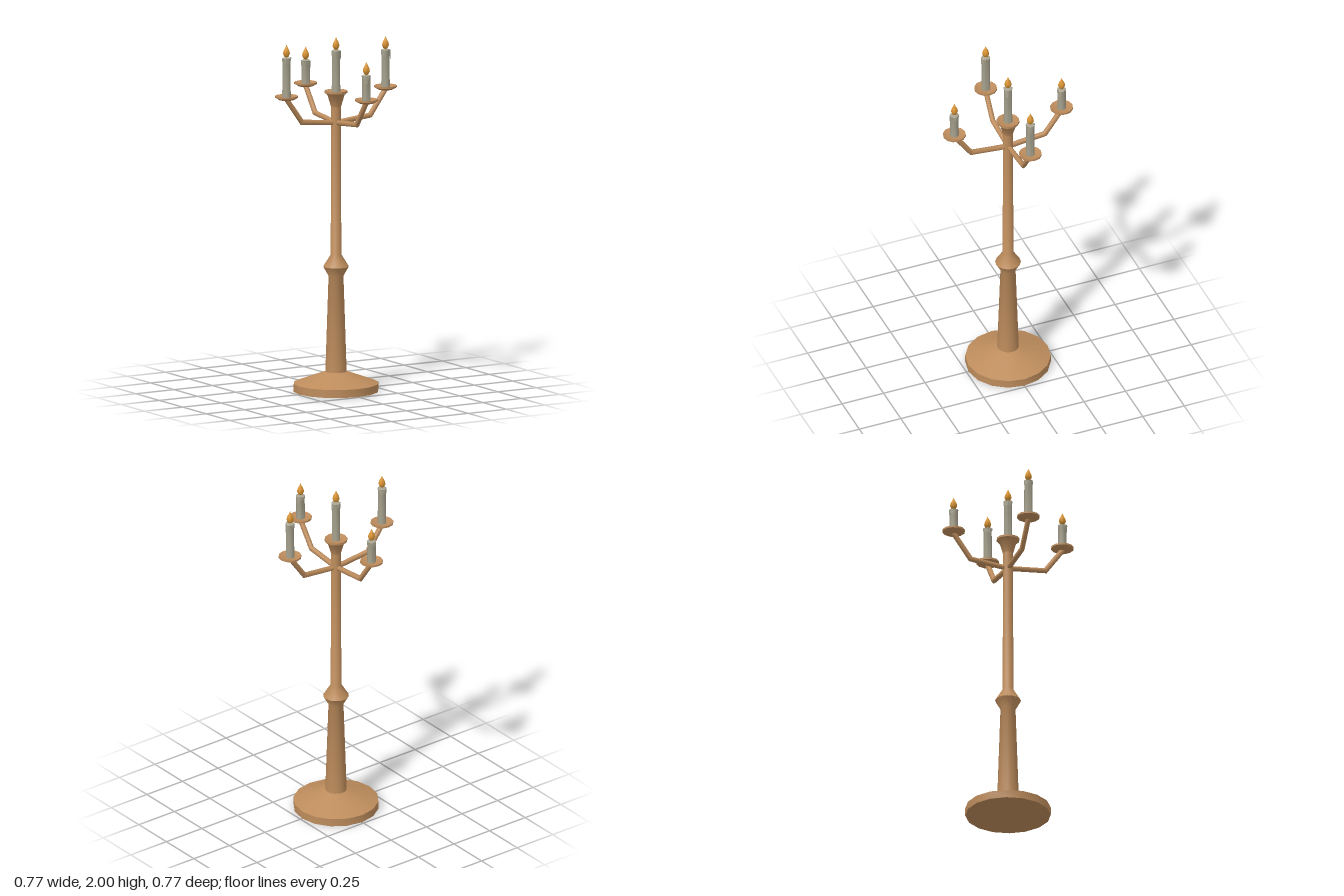
import * as THREE from 'three';
import { toCreasedNormals } from 'three/addons/utils/BufferGeometryUtils.js';

const mat = (name, color, side = THREE.FrontSide) => {
  const m = new THREE.MeshStandardMaterial({ color, side });
  m.name = name;
  return m;
};

export function createModel() {
  const bronze = mat('bronze', 0xbd8c5c);
  const wax = mat('wax', 0xa9a490);
  const waxDrip = wax;
  const fire = mat('flame orange', 0xdb9534);
  const model = new THREE.Group();
  model.name = 'candelabra';

  const add = (parent, name, geometry, material) => {
    const mesh = new THREE.Mesh(geometry, material);
    mesh.name = name;
    parent.add(mesh);
    return mesh;
  };
  // Turned part from [radius, height] pairs, listed from the bottom up
  const turned = (points, sides) => toCreasedNormals(
    new THREE.LatheGeometry(points.map(([r, y]) => new THREE.Vector2(r, y)), sides), 0.9);

  // Foot, tapered stem, knop and post
  add(model, 'stand', turned([
    [0, 0], [0.238, 0], [0.238, 0.045], [0.06, 0.11], [0.042, 0.65],
    [0.072, 0.703], [0.03, 0.77], [0.028, 1.61],
  ], 16), bronze);

  // Flared cup on top of the post
  add(model, 'centreCup', turned([
    [0.028, 1.605], [0.048, 1.672], [0.064, 1.684], [0.064, 1.696], [0.045, 1.69], [0, 1.69],
  ], 12), bronze);

  // Bent arm: a tube with a mitred elbow, in the x-y plane
  const path = [[0, 1.515], [0.222, 1.537], [0.325, 1.68]].map(p => new THREE.Vector2(...p));
  const armGeometry = () => {
    const r = 0.015;
    const geo = new THREE.CylinderGeometry(r, r, 2, 8, 2, true);
    const pos = geo.attributes.position;
    const dirs = [0, 1].map(i => path[i + 1].clone().sub(path[i]).normalize());
    const mid = dirs[0].clone().add(dirs[1]).normalize();
    const tangents = [dirs[0], mid, dirs[1]];
    const mitre = [1, 1 / mid.dot(dirs[0]), 1];
    for (let i = 0; i < pos.count; i++) {
      const k = Math.round(pos.getY(i)) + 1;
      const n = pos.getX(i) * mitre[k];
      pos.setXY(i, path[k].x + tangents[k].y * n, path[k].y - tangents[k].x * n);
    }
    return toCreasedNormals(geo, 0.8);
  };
  const arm = armGeometry();

  // Shallow drip dish
  const dish = turned([
    [0, 1.674], [0.042, 1.674], [0.064, 1.686], [0.064, 1.696], [0.045, 1.689], [0, 1.689],
  ], 12);

  // Teardrop flame, standing on y = 0
  const flame = turned([
    [0, 0], [0.013, 0.008], [0.02, 0.024], [0.016, 0.041], [0.007, 0.058], [0, 0.075],
  ], 10);

  // Collar of melted wax whose lower edge hangs unevenly
  const dripGeometry = (seed) => {
    const geo = new THREE.CylinderGeometry(0.026, 0.0255, 0.02, 10, 1, true);
    const pos = geo.attributes.position;
    for (let i = 0; i < pos.count; i++) {
      const a = Math.atan2(pos.getZ(i), pos.getX(i));
      const swell = 1 + 0.07 * Math.sin(3 * a + seed);
      pos.setX(i, pos.getX(i) * swell);
      pos.setZ(i, pos.getZ(i) * swell);
      if (pos.getY(i) < 0) pos.setY(i, -0.025 - 0.02 * Math.sin(2 * a + seed) - 0.015 * Math.sin(3 * a));
      else pos.setY(i, -0.003);
    }
    return toCreasedNormals(geo, 0.9);
  };

  const addCandle = (parent, x, top, seed) => {
    const candle = new THREE.Group();
    candle.name = 'candle';
    candle.position.x = x;
    parent.add(candle);
    add(candle, 'candleBody', turned([
      [0.0245, 1.685], [0.0235, top - 0.012], [0.026, top - 0.004], [0.02, top], [0, top - 0.004],
    ], 10), wax);
    add(candle, 'waxDrips', dripGeometry(seed), waxDrip).position.y = top;
    add(candle, 'flame', flame, fire).position.y = top;
  };

  addCandle(model, 0, 1.925, 0.5);

  // Four branches: left, back, right, front, with candle heights
  [1.9, 1.822, 1.911, 1.832].forEach((top, i) => {
    const branch = new THREE.Group();
    branch.name = 'branch';
    branch.rotation.y = i * Math.PI / 2;
    model.add(branch);
    add(branch, 'arm', arm, bronze);
    add(branch, 'dripDish', dish, bronze).position.x = 0.323;
    addCandle(branch, 0.323, top, 1.7 * i + 1);
  });

  return model;
}
